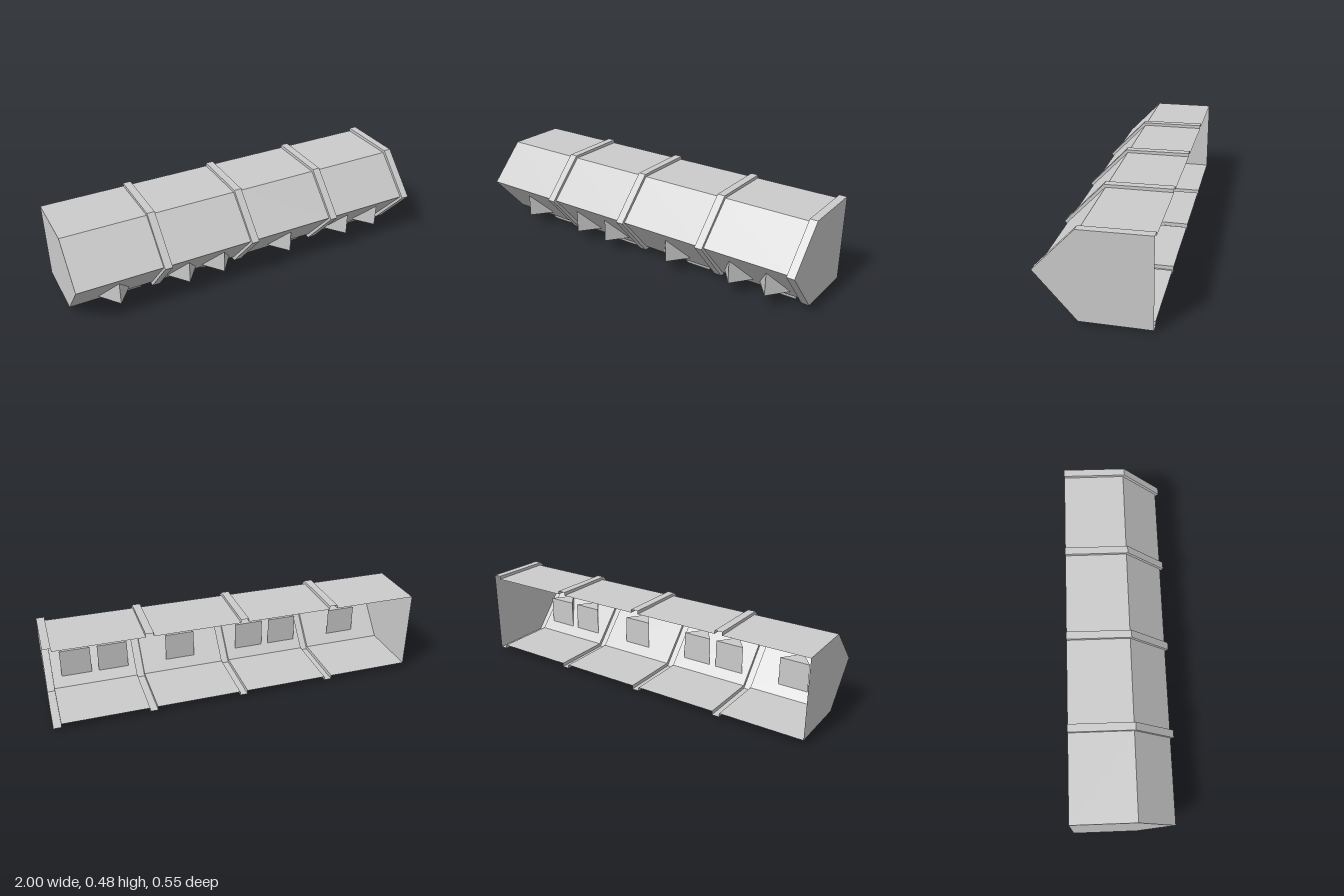
import * as THREE from 'three';

const mat = new THREE.MeshStandardMaterial({ color: 0xcccccc, flatShading: true, side: THREE.DoubleSide });

// Cross-sections [z, y], from the top back edge over the nose to the bottom back edge
const PANEL = [[-0.277, 0.459], [0.062, 0.458], [0.258, 0.255], [0.062, 0.033], [-0.277, 0.033]];
const RIB = [[-0.277, 0.477], [0.07, 0.473], [0.277, 0.255], [0.07, 0.014], [-0.277, 0.012]];

// Thin shell: panels stepping out to raised ribs, open at the back, closed at both ends
function shellGeometry() {
  const sections = [[-1, PANEL]];
  for (const x of [-0.545, -0.045, 0.455, 0.958]) {
    sections.push([x, PANEL], [x, RIB], [x + 0.042, RIB]);
    if (x < 0.9) sections.push([x + 0.042, PANEL]);
  }
  const pos = [];
  const put = (x, [z, y]) => pos.push(x, y, z);
  for (let s = 0; s + 1 < sections.length; s++) {
    const [xa, a] = sections[s], [xb, b] = sections[s + 1];
    for (let i = 0; i < 4; i++) {
      put(xa, a[i]); put(xa, a[i + 1]); put(xb, b[i + 1]);
      put(xa, a[i]); put(xb, b[i + 1]); put(xb, b[i]);
    }
  }
  // End caps as fans
  for (let i = 1; i < 4; i++) {
    put(-1, PANEL[0]); put(-1, PANEL[i + 1]); put(-1, PANEL[i]);
    put(1, RIB[0]); put(1, RIB[i]); put(1, RIB[i + 1]);
  }
  const g = new THREE.BufferGeometry();
  g.setAttribute('position', new THREE.Float32BufferAttribute(pos, 3));
  g.computeVertexNormals();
  return g;
}

// Upright three-sided prism that pokes through the lower front panel
function spikeGeometry() {
  const tri = new THREE.Shape([[-0.083, -0.103], [0, -0.213], [0.083, -0.103]].map(p => new THREE.Vector2(...p)));
  const g = new THREE.ExtrudeGeometry(tri, { depth: 0.158, bevelEnabled: false });
  return g.rotateX(-Math.PI / 2).translate(0, 0.077, 0);
}

// Foot block tapering downwards
function footGeometry() {
  const g = new THREE.BoxGeometry(0.172, 0.033, 0.146);
  const p = g.attributes.position;
  for (let i = 0; i < p.count; i++) {
    if (p.getY(i) < 0) p.setXYZ(i, p.getX(i) * 0.82, p.getY(i), p.getZ(i) * 0.84);
  }
  g.computeVertexNormals();
  return g.translate(0, 0.0165, -0.03);
}

export function createModel() {
  const group = new THREE.Group();
  group.name = 'ribbedTrough';
  const add = (name, geometry, x = 0) => {
    const mesh = new THREE.Mesh(geometry, mat);
    mesh.name = name;
    mesh.position.x = x;
    group.add(mesh);
  };

  add('shell', shellGeometry());

  const spike = spikeGeometry();
  for (const x of [-0.77, -0.385, -0.18, 0.235, 0.62, 0.825]) add('spike', spike, x);

  const foot = footGeometry();
  for (const x of [-0.67, -0.163, 0.33, 0.838]) add('foot', foot, x);

  return group;
}
